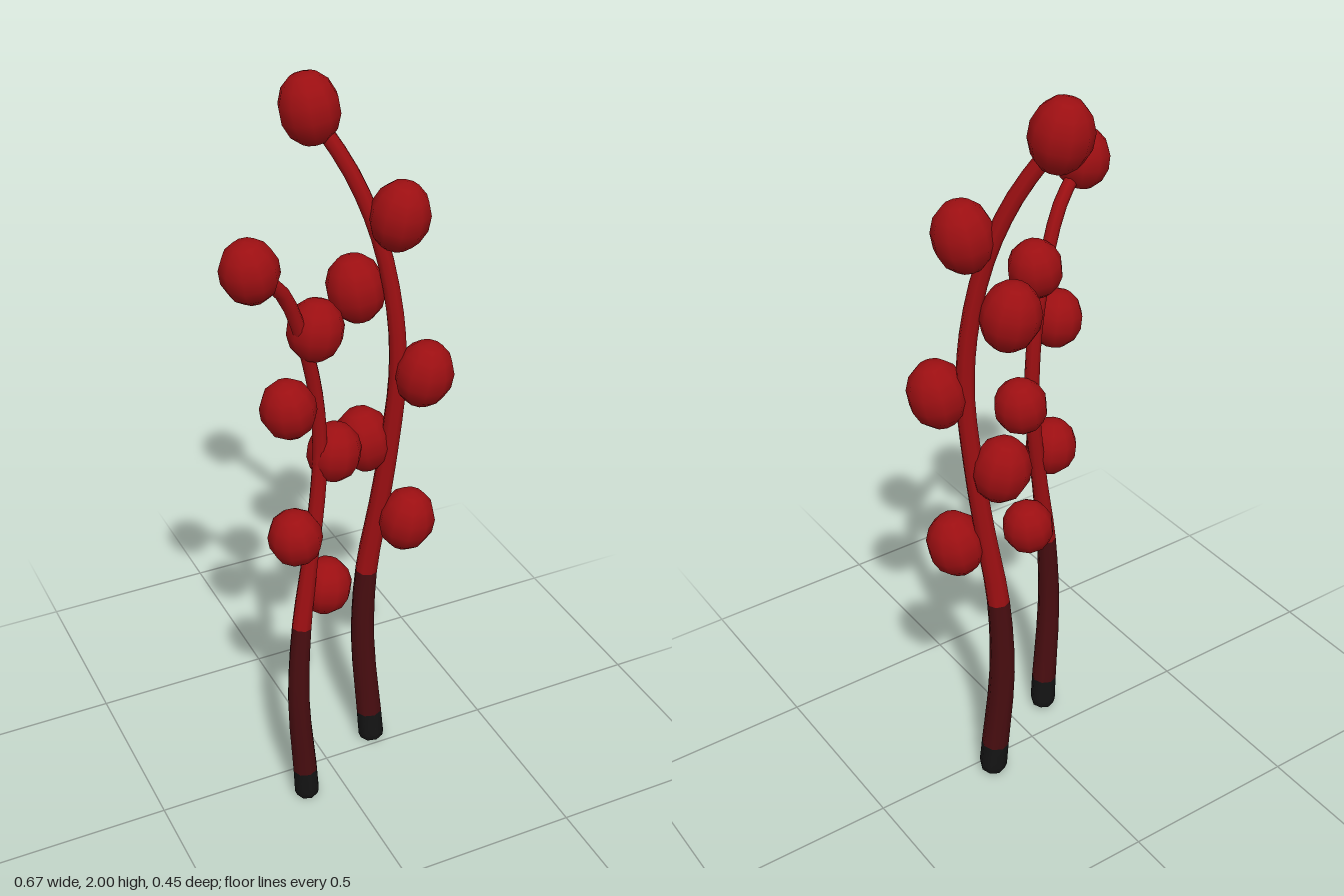
import * as THREE from 'three';
import { mergeVertices } from 'three/addons/utils/BufferGeometryUtils.js';

const mat = (name, color) => {
  const m = new THREE.MeshStandardMaterial({ color });
  m.name = name;
  return m;
};

// Tapered tube along curve points [from..to], swept from an open cylinder
function sweep(curve, radii, from, to, sides = 8) {
  const last = radii.length - 1, steps = (to - from) * 3;
  const geo = new THREE.CylinderGeometry(1, 1, 1, sides, steps, true);
  const pos = geo.attributes.position, v = new THREE.Vector3();
  const up = new THREE.Vector3(0, 1, 0), q = new THREE.Quaternion();
  for (let i = 0; i < pos.count; i++) {
    v.fromBufferAttribute(pos, i);
    const s = from + (v.y + 0.5) * (to - from);
    const k = Math.min(Math.floor(s), last - 1);
    const r = THREE.MathUtils.lerp(radii[k], radii[k + 1], s - k);
    q.setFromUnitVectors(up, curve.getTangent(s / last));
    v.set(v.x * r, 0, v.z * r).applyQuaternion(q).add(curve.getPoint(s / last));
    pos.setXYZ(i, v.x, v.y, v.z);
  }
  geo.deleteAttribute('uv');
  geo.deleteAttribute('normal');
  const merged = mergeVertices(geo);
  merged.computeVertexNormals();
  return merged;
}

export function createModel() {
  const red = mat('berryRed', 0x9c0f12);
  const dark = mat('darkStem', 0x480d10);
  const black = mat('blackTip', 0x141414);
  const model = new THREE.Group();
  model.name = 'berryBranches';

  const add = (group, name, geo, material) => {
    const mesh = new THREE.Mesh(geo, material);
    mesh.name = name;
    group.add(mesh);
    return mesh;
  };

  // Each branch bends within one vertical plane: z follows x along a line
  function branch({ name, plane, stem, radii, berries, size }) {
    const g = new THREE.Group();
    g.name = name;
    const [x0, z0, slope] = plane;
    const at = (x, y) => new THREE.Vector3(x, y, z0 + slope * (x - x0));
    const curve = new THREE.CatmullRomCurve3(stem.map(([x, y]) => at(x, y)));

    // Stem in three colours, closed at the foot
    add(g, 'stemFoot', sweep(curve, radii, 0, 2), black);
    add(g, 'lowerStem', sweep(curve, radii, 2, 4), dark);
    add(g, 'upperStem', sweep(curve, radii, 4, radii.length - 1), red);
    const cap = add(g, 'footCap', new THREE.CircleGeometry(radii[0], 8), black);
    cap.position.copy(curve.getPoint(0));
    cap.rotation.x = Math.PI / 2;

    // Berries lean outwards alternately, the last one crowns the tip
    const heading = Math.atan2(-slope, 1);
    const berryGeo = new THREE.SphereGeometry(1, 10, 7);
    berries.forEach(([x, y], i) => {
      const berry = add(g, i === berries.length - 1 ? 'tipBerry' : 'berry', berryGeo, red);
      berry.position.copy(at(x, y));
      berry.scale.set(size[0], size[1], size[0]);
      berry.rotation.set(0, heading, i % 2 ? 0.18 : -0.18);
    });
    model.add(g);
  }

  branch({
    name: 'tallBranch',
    plane: [0.16, -0.04, 0.78],
    stem: [[0.163, 0.006], [0.161, 0.025], [0.156, 0.1], [0.139, 0.36], [0.145, 0.6], [0.17, 0.82],
      [0.19, 1.02], [0.203, 1.22], [0.195, 1.4], [0.16, 1.6], [0.105, 1.76], [0.024, 1.91]],
    radii: [0.034, 0.039, 0.038, 0.035, 0.031, 0.028, 0.026, 0.024, 0.023, 0.022, 0.021, 0.02],
    berries: [[0.23, 0.785], [0.135, 1.02], [0.257, 1.235], [0.115, 1.455], [0.2, 1.66], [0.024, 1.912]],
    size: [0.077, 0.091],
  });

  branch({
    name: 'shortBranch',
    plane: [-0.108, 0.102, -0.36],
    stem: [[-0.108, 0.006], [-0.11, 0.025], [-0.115, 0.1], [-0.135, 0.36], [-0.122, 0.6], [-0.092, 0.8],
      [-0.066, 0.98], [-0.057, 1.12], [-0.07, 1.28], [-0.108, 1.44], [-0.17, 1.59], [-0.263, 1.68]],
    radii: [0.031, 0.036, 0.035, 0.031, 0.027, 0.022, 0.021, 0.02, 0.019, 0.018, 0.018, 0.017],
    berries: [[-0.04, 0.69], [-0.14, 0.895], [-0.01, 1.09], [-0.157, 1.278], [-0.07, 1.458], [-0.263, 1.68]],
    size: [0.071, 0.079],
  });

  return model;
}
